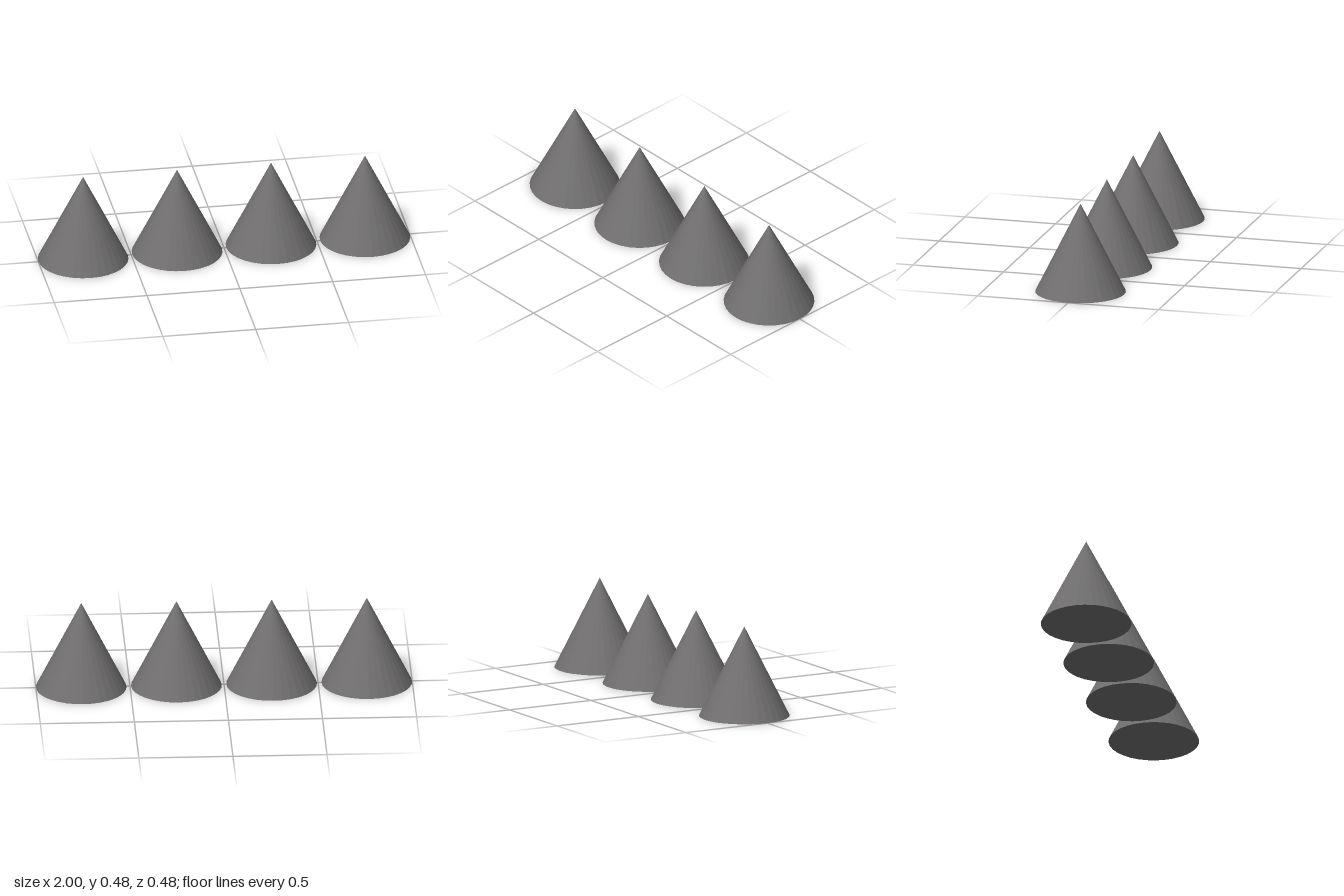
import * as THREE from 'three';

const COUNT = 4;
const RADIUS = 0.241;
const HEIGHT = 0.482;
const SPACING = 0.506;

export function createModel() {
  const model = new THREE.Group();
  model.name = 'coneRow';

  const material = new THREE.MeshStandardMaterial({ color: 0x716f70, flatShading: true });

  // Closed faceted cone with its base on the ground
  const geometry = new THREE.ConeGeometry(RADIUS, HEIGHT, 32);
  geometry.translate(0, HEIGHT / 2, 0);

  // Evenly spaced row along x
  for (let i = 0; i < COUNT; i++) {
    const cone = new THREE.Mesh(geometry, material);
    cone.name = `cone${i + 1}`;
    cone.position.x = (i - (COUNT - 1) / 2) * SPACING;
    model.add(cone);
  }
  return model;
}
